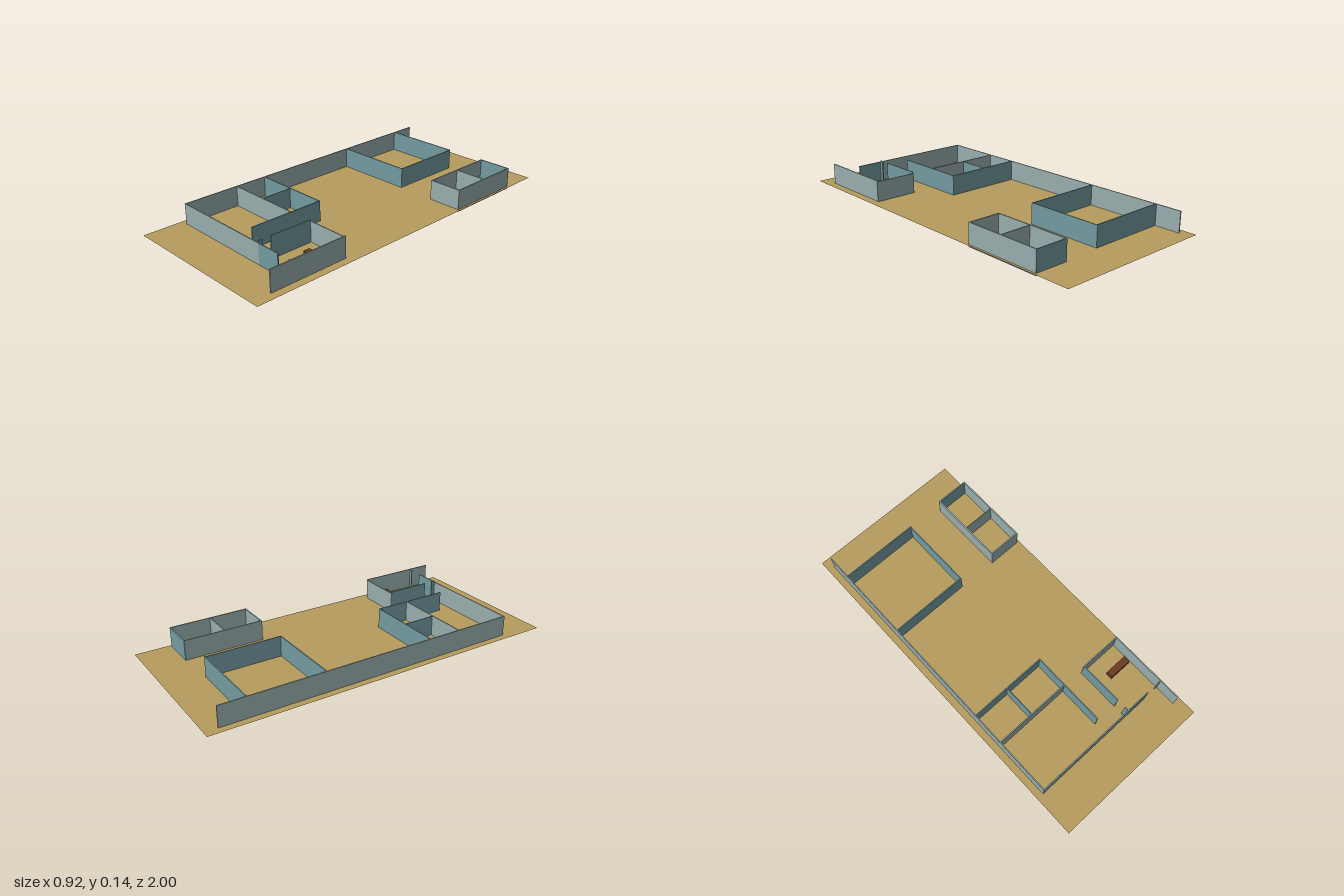
import * as THREE from 'three';

const grey = new THREE.MeshStandardMaterial({ color: 0x98adad });
const teal = new THREE.MeshStandardMaterial({ color: 0x739ba0 });
const wood = new THREE.MeshStandardMaterial({ color: 0x6b3a22 });
const sand = new THREE.MeshStandardMaterial({ color: 0xb59b5d, side: THREE.DoubleSide });

// Box between two opposite corners
function block(name, material, x0, x1, y0, y1, z0, z1) {
  const mesh = new THREE.Mesh(new THREE.BoxGeometry(x1 - x0, y1 - y0, z1 - z0), material);
  mesh.position.set((x0 + x1) / 2, (y0 + y1) / 2, (z0 + z1) / 2);
  mesh.name = name;
  return mesh;
}

// Wall running along x at depth z
function wallX(name, material, x0, x1, z, y0 = 0.004, y1 = 0.13, t = 0.006) {
  return block(name, material, x0, x1, y0, y1, z - t / 2, z + t / 2);
}

// Wall running along z at position x
function wallZ(name, material, x, z0, z1, y0 = 0.004, y1 = 0.13, t = 0.006) {
  return block(name, material, x - t / 2, x + t / 2, y0, y1, z0, z1);
}

function room(name, ...walls) {
  const group = new THREE.Group();
  group.name = name;
  group.add(...walls);
  return group;
}

export function createModel() {
  const model = new THREE.Group();
  model.name = 'floorPlan';

  // Ground sheet; most walls reach slightly below it
  const floor = new THREE.Mesh(new THREE.PlaneGeometry(0.916, 2), sand);
  floor.rotation.x = -Math.PI / 2;
  floor.position.y = 0.016;
  floor.name = 'floor';
  model.add(floor);

  // Long side wall and front wall with the entrance gap
  model.add(room('outerWalls',
    wallZ('sideWall', grey, -0.417, -0.93, 0.773),
    wallX('frontWall', grey, -0.42, 0.18, 0.77),
    wallX('frontWallEnd', teal, 0.18, 0.32, 0.77),
    wallX('entranceJamb', grey, 0.395, 0.41, 0.77)));

  // Large room at the back
  model.add(room('backRoom',
    wallX('backRoomRear', teal, -0.414, 0.034, -0.785, 0.004, 0.132),
    wallX('backRoomFront', teal, -0.414, 0.034, -0.363),
    wallZ('backRoomSide', teal, 0.031, -0.782, -0.366)));

  // Rooms at the front with a partition
  model.add(room('frontRooms',
    wallX('frontRoomRear', teal, -0.414, 0.034, 0.263),
    wallX('frontRoomMiddle', grey, -0.414, 0.028, 0.45),
    wallZ('frontRoomSide', teal, 0.031, 0.266, 0.695),
    wallZ('frontRoomPartition', teal, -0.2, 0.266, 0.447, 0, 0.128, 0.004)));

  // Small detached block with two cells
  model.add(room('sideBlock',
    wallX('sideBlockRear', teal, 0.253, 0.445, -0.799, 0.003, 0.128, 0.007),
    wallX('sideBlockDivider', grey, 0.257, 0.438, -0.573, 0.003, 0.128, 0.005),
    wallX('sideBlockFront', grey, 0.253, 0.445, -0.359, 0.003, 0.128, 0.007),
    wallZ('sideBlockInnerSide', grey, 0.2565, -0.7955, -0.3625, 0.003, 0.128, 0.007),
    wallZ('sideBlockOuterSide', grey, 0.4415, -0.7955, -0.3625, 0.003, 0.128, 0.007)));

  // Reception office with its desk
  model.add(room('office',
    wallX('officeRear', grey, 0.17, 0.41, 0.448),
    wallZ('officeInnerSide', teal, 0.174, 0.451, 0.695, 0.008, 0.138),
    wallZ('officeInnerStub', teal, 0.174, 0.745, 0.767, 0.008, 0.138),
    wallZ('officeOuterSide', grey, 0.413, 0.445, 0.893, 0.018, 0.136),
    block('desk', wood, 0.267, 0.397, 0.014, 0.05, 0.54, 0.578)));

  return model;
}
